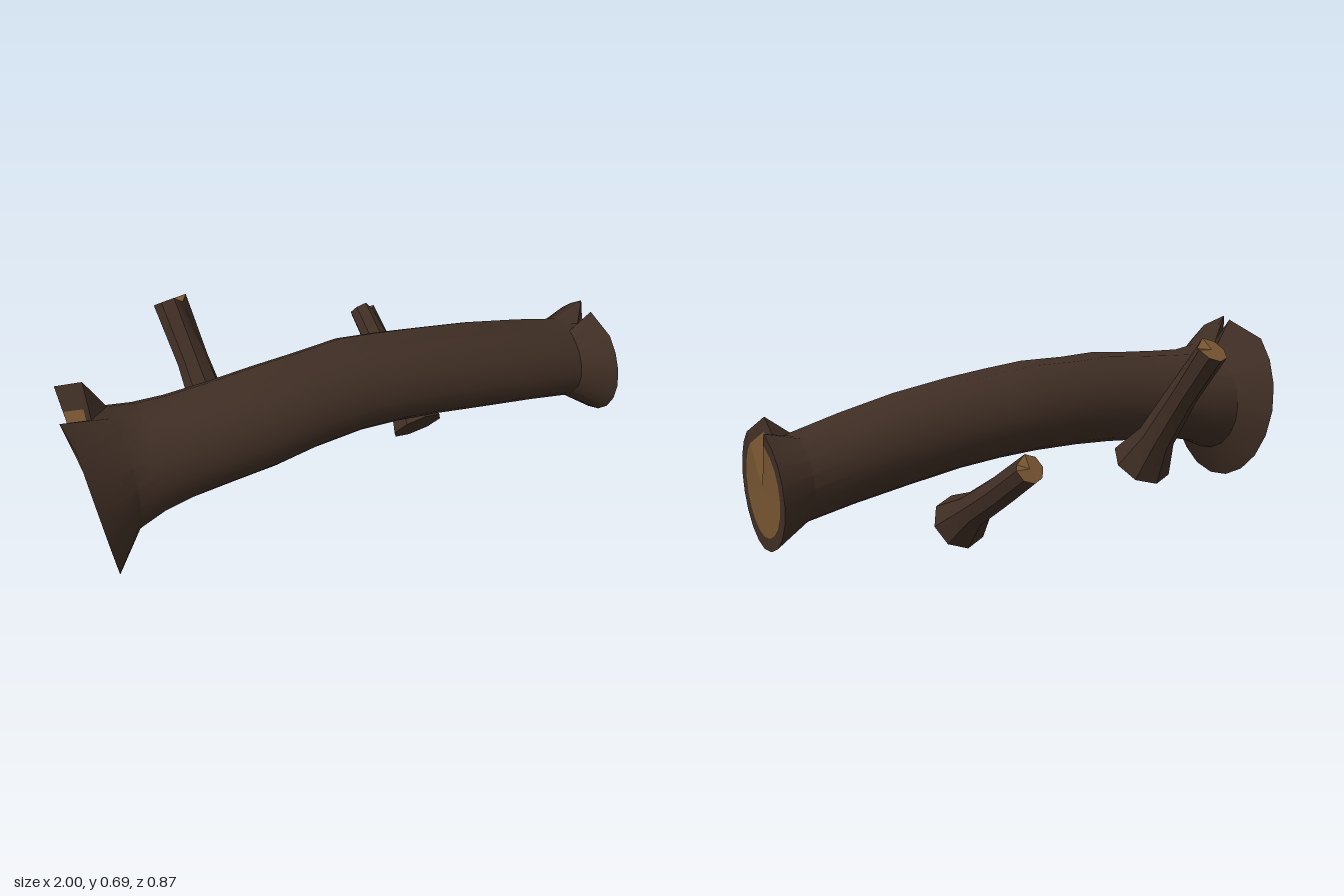
import * as THREE from 'three';
import { toCreasedNormals } from 'three/addons/utils/BufferGeometryUtils.js';

const V = (x, y, z) => new THREE.Vector3(x, y, z);

// Surface through consecutive closed rings, each running from "up" towards the "side" axis
function loft(rings, crease) {
  const n = rings[0].length, pos = [], idx = [];
  rings.forEach(r => r.forEach(p => pos.push(p.x, p.y, p.z)));
  for (let i = 0; i < rings.length - 1; i++) {
    for (let j = 0; j < n; j++) {
      const a = i * n + j, b = i * n + (j + 1) % n;
      idx.push(a, b, a + n, b, b + n, a + n);
    }
  }
  const g = new THREE.BufferGeometry();
  g.setAttribute('position', new THREE.Float32BufferAttribute(pos, 3));
  g.setIndex(idx);
  return toCreasedNormals(g, crease);
}

// Fan closing a ring; flip for the start of a loft
function fan(ring, center, flip) {
  const pos = [];
  ring.forEach((p, j) => {
    const q = ring[(j + 1) % ring.length];
    for (const v of flip ? [center, q, p] : [center, p, q]) pos.push(v.x, v.y, v.z);
  });
  const g = new THREE.BufferGeometry();
  g.setAttribute('position', new THREE.Float32BufferAttribute(pos, 3));
  g.computeVertexNormals();
  return g;
}

export function createModel() {
  const log = new THREE.Group();
  log.name = 'fallenLog';
  const bark = new THREE.MeshStandardMaterial({ color: 0x3f2e24 });
  bark.name = 'bark';
  const wood = new THREE.MeshStandardMaterial({ color: 0x765431 });
  wood.name = 'cutWood';

  const add = (parent, name, geometry, material) => {
    const m = new THREE.Mesh(geometry, material);
    m.name = name;
    parent.add(m);
  };

  // Sawn end: bark rim around a wood face
  const cutEnd = (parent, name, ring, center, rim, flip) => {
    const inner = ring.map(p => p.clone().lerp(center, rim));
    add(parent, name + 'Rim', loft(flip ? [inner, ring] : [ring, inner], 0.3), bark);
    add(parent, name + 'Wood', fan(inner, center, flip), wood);
  };

  // Trunk: x, bottom, top, back, front of each cross-section
  const N = 20;
  const sections = [
    [-0.93, 0.035, 0.665, -0.2, 0.43],
    [-0.82, 0.155, 0.565, -0.1, 0.32],
    [-0.73, 0.195, 0.553, -0.08, 0.305],
    [-0.63, 0.22, 0.557, -0.06, 0.3],
    [-0.48, 0.232, 0.568, -0.05, 0.293],
    [-0.33, 0.247, 0.582, -0.048, 0.295],
    [-0.18, 0.26, 0.582, -0.055, 0.275],
    [0, 0.267, 0.588, -0.065, 0.265],
    [0.15, 0.26, 0.575, -0.053, 0.263],
    [0.3, 0.245, 0.558, -0.04, 0.265],
    [0.5, 0.215, 0.528, -0.036, 0.27],
    [0.7, 0.183, 0.485, -0.032, 0.268],
    [0.87, 0.15, 0.442, -0.03, 0.265],
    [0.985, 0.073, 0.475, -0.085, 0.345],
  ];
  const trunk = new THREE.Group();
  trunk.name = 'trunk';
  log.add(trunk);
  const rings = sections.map(([x, y0, y1, z0, z1], i) => {
    const ring = [];
    for (let j = 0; j < N; j++) {
      const t = (j / N) * Math.PI * 2;
      // shallow groove along the top, small ridges beside it
      const k = i === 0 || i === sections.length - 1 ? 1 : j === 0 ? 0.96 : j === 1 || j === N - 1 ? 1.02 : 1;
      ring.push(V(x, (y0 + y1) / 2 + (y1 - y0) / 2 * k * Math.cos(t),
        (z0 + z1) / 2 + (z1 - z0) / 2 * k * Math.sin(t)));
    }
    return ring;
  });

  // Slanted ends with a split at the top
  const left = rings[0], right = rings[rings.length - 1];
  left.forEach(p => { p.x = -0.93 - 0.145 * (p.y - 0.35) - 0.08 * (p.z - 0.11); });
  left[0].set(-0.89, 0.58, 0.12);
  left[1].set(-1, 0.655, 0.2);
  left[N - 1].set(-0.885, 0.67, 0.04);
  right.forEach(p => { p.x = 0.99 - 0.06 * Math.max(0, p.z - 0.11); });
  right[0].set(0.935, 0.43, 0.125);
  right[1].set(0.95, 0.5, 0.17);
  right[N - 1].set(0.995, 0.475, 0.055);
  add(trunk, 'trunkBark', loft(rings, 0.55), bark);
  cutEnd(trunk, 'rightEnd', left, V(-0.93, 0.35, 0.115), 0.27, true);
  cutEnd(trunk, 'leftEnd', right, V(0.985, 0.28, 0.125), 0.21, false);

  // Branch stubs: flared base, bent shaft, sawn tip; rows are x, y, z, radius
  const branch = (name, rows) => {
    const g = new THREE.Group();
    g.name = name;
    log.add(g);
    const c = rows.map(r => V(r[0], r[1], r[2]));
    const loops = rows.map((r, i) => {
      const d = c[Math.min(i + 1, c.length - 1)].clone().sub(c[Math.max(i - 1, 0)]).normalize();
      const u = V(1, 0, 0).cross(d).normalize(), v = d.clone().cross(u);
      return Array.from({ length: 8 }, (_, j) => {
        const t = (j / 8) * Math.PI * 2;
        return c[i].clone().addScaledVector(u, r[3] * Math.cos(t)).addScaledVector(v, r[3] * Math.sin(t));
      });
    });
    const tip = loops[loops.length - 1], end = c[c.length - 1];
    tip[1].lerp(c[c.length - 2], 0.12).lerp(end, 0.15);
    add(g, name + 'Bark', loft(loops, 0.5), bark);
    add(g, name + 'Base', fan(loops[0], c[0], true), bark);
    add(g, name + 'Tip', fan(tip, end, false), wood);
  };
  branch('upperBranch', [
    [-0.42, 0.185, -0.025, 0.112],
    [-0.425, 0.3, -0.105, 0.068],
    [-0.445, 0.47, -0.215, 0.056],
    [-0.47, 0.652, -0.337, 0.06],
  ]);
  branch('lowerBranch', [
    [0.337, 0.078, 0.012, 0.098],
    [0.335, 0.155, -0.095, 0.06],
    [0.325, 0.25, -0.24, 0.054],
    [0.315, 0.368, -0.408, 0.05],
  ]);
  return log;
}
